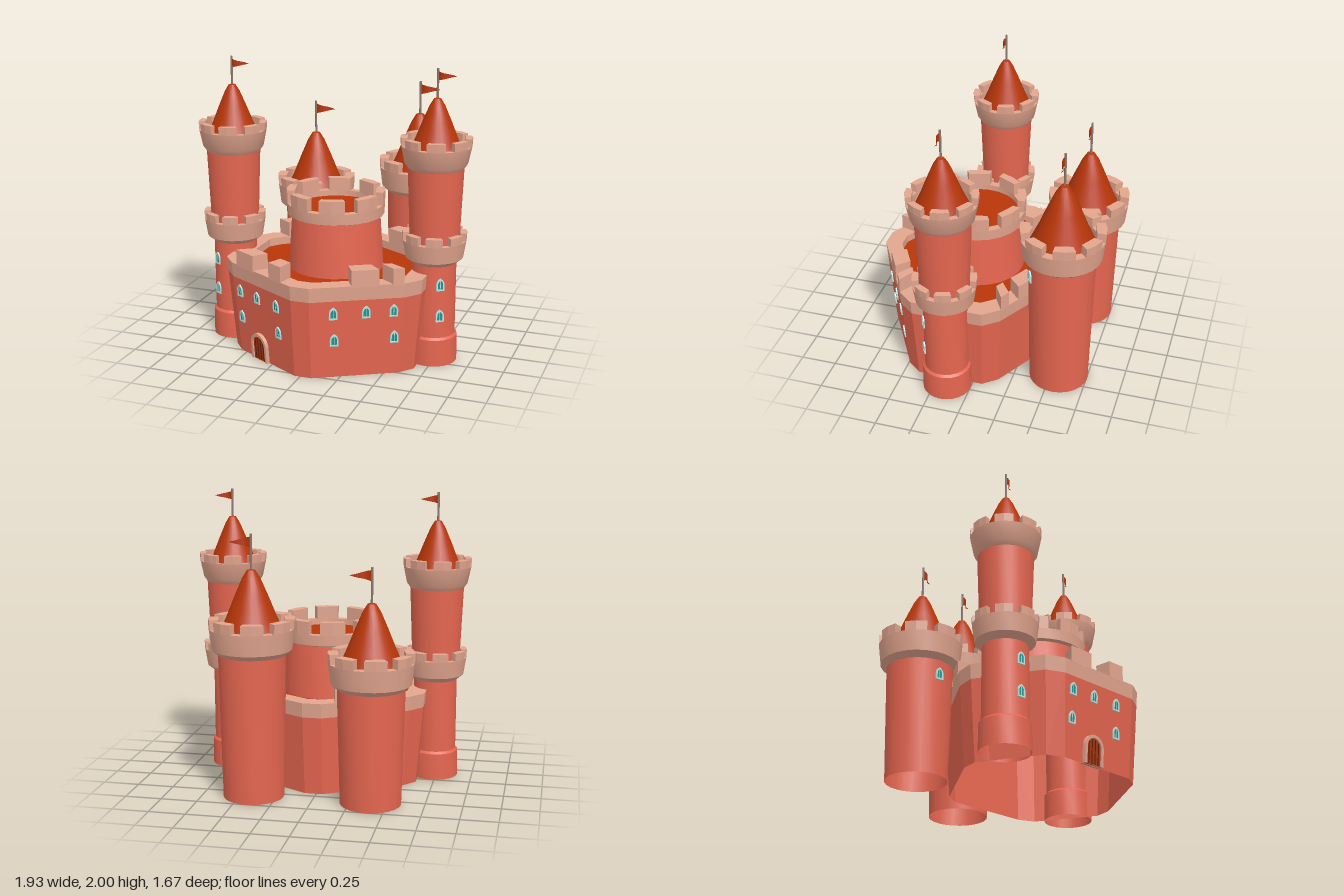
import * as THREE from 'three';
import { toCreasedNormals } from 'three/addons/utils/BufferGeometryUtils.js';
import { ConvexGeometry } from 'three/addons/geometries/ConvexGeometry.js';

const mat = (name, color, side = THREE.FrontSide) => {
  const m = new THREE.MeshStandardMaterial({ color, side });
  m.name = name;
  return m;
};
const wall = mat('coral wall', 0xe66650, THREE.DoubleSide);
const stone = mat('pale stone', 0xe2a58e, THREE.DoubleSide);
const roofRed = mat('roof red', 0xb83608, THREE.DoubleSide);
const wood = mat('door wood', 0xa8360c);
const darkWood = mat('dark wood', 0x5a1c08);
const poleGrey = mat('pole grey', 0x8c7a72);
const glass = mat('teal glass', 0x1f9694);
const frameMat = mat('window frame', 0xc0e6e3);

const SEG = 24;
const CX = 0.02, CZ = 0.165, RIM = 0.645;

function add(parent, name, geo, material) {
  const m = new THREE.Mesh(geo, material);
  m.name = name;
  parent.add(m);
  return m;
}

function lathe(parent, name, pts, material) {
  const g = new THREE.LatheGeometry(pts.map(p => new THREE.Vector2(...p)), SEG);
  return add(parent, name, toCreasedNormals(g, 0.5), material);
}

// Ring of eight merlons, each two segments wide
function merlonRing(parent, inner, outer, outerTop, y0, y1) {
  for (let i = 0; i < 8; i++) {
    const pts = [];
    for (let k = 0; k < 3; k++) {
      const a = (i * 3 + k) * Math.PI * 2 / SEG;
      for (const [r, y] of [[inner, y0], [outer, y0], [outerTop, y1], [inner, y1]])
        pts.push(new THREE.Vector3(r * Math.sin(a), y, r * Math.cos(a)));
    }
    add(parent, 'merlon', new ConvexGeometry(pts), stone);
  }
}

// Flared battlement: neck radius, lower, top and inner radii
function crown(parent, neck, low, top, inner, y0, y1, notch) {
  const yn = y1 - notch, rn = top - 0.003;
  lathe(parent, 'crown', [[neck, y0], [low, y0 + 0.035], [rn, yn], [inner, yn], [inner, yn - 0.08], [0.01, yn - 0.08]], stone);
  merlonRing(parent, inner, rn, top, yn, y1);
}

// Bell-shaped roof with pole and waving pennant
function spire(parent, R, y0, y1, poleTop, len, h) {
  const H = y1 - y0;
  lathe(parent, 'spireRoof', [[1, 0], [0.72, 0.31], [0.49, 0.6], [0.26, 0.87], [0.12, 0.985], [0, 1]]
    .map(([r, y]) => [r * R, y0 + y * H]), roofRed);
  const pole = add(parent, 'flagPole', new THREE.CylinderGeometry(0.008, 0.008, poleTop - y1 + 0.03, 8), poleGrey);
  pole.position.y = (poleTop + y1 - 0.03) / 2;
  const g = new THREE.PlaneGeometry(1, 1, 8, 1), p = g.attributes.position;
  for (let i = 0; i < p.count; i++) {
    const u = p.getX(i) + 0.5;
    p.setXYZ(i, u * len, p.getY(i) * h * (1 - u), 0.013 * Math.sin(u * 6));
  }
  g.computeVertexNormals();
  add(parent, 'flag', g, roofRed).position.y = poleTop - 0.018 - h / 2;
}

// Arched outline standing on y = y0, round or pointed
function arch(w, h, y0 = 0, pointed = false, Type = THREE.Shape) {
  const s = new Type(), r = w / 2, top = y0 + h;
  s.moveTo(-r, y0);
  s.lineTo(r, y0);
  if (pointed) {
    s.lineTo(r, top - w * 0.75);
    s.quadraticCurveTo(r, top - w * 0.3, 0, top);
    s.quadraticCurveTo(-r, top - w * 0.3, -r, top - w * 0.75);
  } else {
    s.lineTo(r, top - r);
    s.absarc(0, top - r, r, 0, Math.PI, false);
  }
  s.lineTo(-r, y0);
  return s;
}
const extrude = (shape, depth, z) =>
  new THREE.ExtrudeGeometry(shape, { depth, bevelEnabled: false, curveSegments: 8 }).translate(0, 0, z);

function windowAt(parent, x, y, z, yaw, tilt = 0) {
  const g = new THREE.Group();
  g.name = 'window';
  g.position.set(x, y, z);
  g.rotation.set(tilt, yaw, 0, 'YXZ');
  parent.add(g);
  const outer = arch(0.056, 0.086, -0.043, true);
  outer.holes.push(arch(0.036, 0.062, -0.033, true, THREE.Path));
  add(g, 'windowFrame', extrude(outer, 0.009, 0), frameMat);
  add(g, 'windowPane', extrude(arch(0.046, 0.074, -0.039, true), 0.005, 0), glass);
  add(g, 'windowBar', new THREE.BoxGeometry(0.004, 0.06, 0.004), frameMat).position.set(0, -0.003, 0.005);
}

// Rounded-corner hexagonal plan of the main building
const half = [[0.065, 0.667], [0.62, 0.355], [0.705, 0.25], [0.705, -0.25], [0.62, -0.355], [0.065, -0.667]];
const plan = [...half, ...half.map(([x, z]) => [-x, -z])];
const scaleAt = y => 0.92 + 0.08 * y / RIM;

function loft(parent, name, levels, material) {
  const pos = [];
  const pt = (i, [s, y]) => [plan[i % 12][0] * s, y, plan[i % 12][1] * s];
  for (let k = 0; k < levels.length - 1; k++)
    for (let i = 0; i < 12; i++) {
      const a = pt(i, levels[k]), b = pt(i + 1, levels[k]), c = pt(i + 1, levels[k + 1]), d = pt(i, levels[k + 1]);
      pos.push(...a, ...b, ...c, ...a, ...c, ...d);
    }
  const g = new THREE.BufferGeometry();
  g.setAttribute('position', new THREE.Float32BufferAttribute(pos, 3));
  g.computeVertexNormals();
  return add(parent, name, g, material);
}
const wallZ = x => 0.667 - 0.562 * (Math.abs(x) - 0.065);

function mainBuilding() {
  const g = new THREE.Group();
  g.name = 'mainBuilding';
  g.position.set(CX, 0, CZ);
  const inner = 0.82;
  loft(g, 'mainWall', [[0.92, 0], [scaleAt(0.545), 0.545]], wall);
  loft(g, 'parapet', [[scaleAt(0.545), 0.545], [1, RIM], [inner, RIM], [inner, 0.54]], stone);
  const roof = new THREE.Shape(plan.map(([x, z]) => new THREE.Vector2(x * inner, -z * inner)));
  add(g, 'terraceRoof', new THREE.ShapeGeometry(roof).rotateX(-Math.PI / 2), roofRed).position.y = 0.59;

  // Merlons on the four slanted walls
  for (const side of [1, -1])
    for (const [x0, x1] of [[-0.57, -0.41], [-0.26, -0.15], [0.31, 0.47], [0.55, 0.615]]) {
      const pts = [];
      for (const x of [x0, x1])
        for (const [s, y] of [[1, RIM - 0.01], [1, 0.75], [inner, 0.75], [inner, RIM - 0.01]])
          pts.push(new THREE.Vector3(x * s, y, side * wallZ(x) * s));
      add(g, 'wallMerlon', new ConvexGeometry(pts), stone);
    }

  // Windows on the two front walls
  for (const [y, xs] of [[0.46, [-0.545, -0.38, -0.2, 0.2, 0.39, 0.55]], [0.27, [-0.54, -0.19, 0.2, 0.55]]])
    for (const x of xs) {
      const s = scaleAt(y);
      windowAt(g, x, y, s * wallZ(x / s), Math.sign(x) * 0.512, 0.076);
    }

  // Arched door through the left front wall
  const door = new THREE.Group();
  door.name = 'door';
  door.position.set(-0.365, 0.003, 0.92 * wallZ(0.365 / 0.92));
  door.rotation.set(0.076, -0.512, 0, 'YXZ');
  g.add(door);
  const frame = arch(0.165, 0.195);
  frame.holes.push(arch(0.125, 0.174, 0, false, THREE.Path));
  add(door, 'doorFrame', extrude(frame, 0.05, -0.025), stone);
  add(door, 'doorPanel', extrude(arch(0.13, 0.176), 0.03, -0.015), wood);
  for (const x of [-0.042, -0.014, 0.014, 0.042])
    add(door, 'doorGap', new THREE.BoxGeometry(0.006, 0.17 - Math.abs(x) * 0.5, 0.034), darkWood)
      .position.set(x, 0.085 - Math.abs(x) * 0.25, 0);
  return g;
}

function keep() {
  const g = new THREE.Group();
  g.name = 'keep';
  g.position.set(0.025, 0, 0.15);
  lathe(g, 'keepWall', [[0.328, 0.59], [0.303, 0.97]], wall);
  lathe(g, 'keepCrown', [[0.303, 0.955], [0.33, 0.965], [0.335, 1.04], [0.285, 1.04], [0.285, 0.98]], stone);
  merlonRing(g, 0.285, 0.335, 0.337, 1.04, 1.13);
  lathe(g, 'keepRoof', [[0.287, 1.0], [0, 1.0]], roofRed);
  return g;
}

// Tall two-stage tower beside the main building
function sideTower(s) {
  const g = new THREE.Group();
  g.name = s > 0 ? 'leftTower' : 'rightTower';
  g.position.set(s * 0.73, 0, 0.165);
  lathe(g, 'lowerShaft', [[0.167, 0], [0.165, 0.185], [0.15, 0.2], [0.15, 0.72]], wall);
  crown(g, 0.15, 0.195, 0.217, 0.176, 0.7, 0.91, 0.055);
  lathe(g, 'upperShaft', [[0.163, 0.76], [0.187, 1.37]], wall);
  crown(g, 0.185, 0.21, 0.237, 0.195, 1.345, 1.55, 0.055);
  spire(g, 0.195, 1.42, 1.81, 2.0, 0.125, 0.06);
  for (const y of [0.58, 0.36])
    windowAt(g, s * 0.15 * Math.sin(0.57), y, 0.15 * Math.cos(0.57), s * 0.57);
  return g;
}

// Wide rear tower, with its top at a given height
function rearTower(name, x, top, s) {
  const g = new THREE.Group();
  g.name = name;
  g.position.set(x, 0, -0.55);
  lathe(g, 'shaft', [[0.205, 0], [0.226, top - 0.22]], wall);
  crown(g, 0.226, 0.267, 0.287, 0.225, top - 0.24, top, 0.065);
  spire(g, 0.23, top - 0.13, top + 0.325, top + 0.555, 0.147, 0.075);
  windowAt(g, s * 0.222 * Math.sin(0.57), top - 0.335, 0.222 * Math.cos(0.57), s * 0.57);
  return g;
}

export function createModel() {
  const model = new THREE.Group();
  model.name = 'castle';
  model.add(mainBuilding(), keep(), sideTower(1), sideTower(-1),
    rearTower('rearLeftTower', 0.408, 1.22, 1), rearTower('rearRightTower', -0.39, 1.025, -1));
  return model;
}
